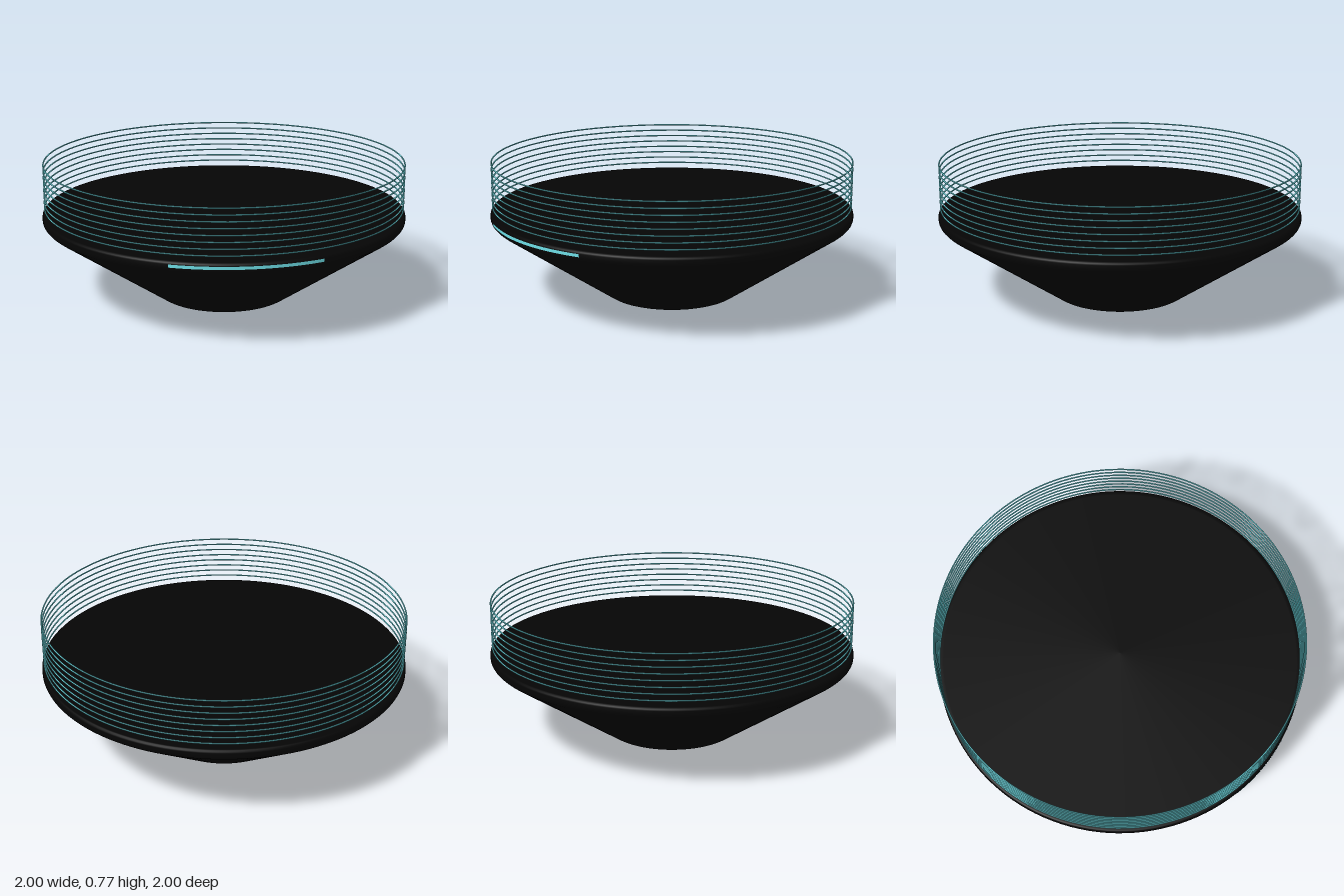
import * as THREE from 'three';

const SEGMENTS = 128;

export function createModel() {
  const group = new THREE.Group();
  const black = new THREE.MeshStandardMaterial({ color: 0x050505 });
  black.name = 'black shell';
  const teal = new THREE.MeshStandardMaterial({ color: 0x6fe0e8, side: THREE.DoubleSide });
  teal.name = 'teal light';

  const add = (name, geometry, material, y = 0) => {
    const mesh = new THREE.Mesh(geometry, material);
    mesh.name = name;
    mesh.position.y = y;
    group.add(mesh);
  };

  // Conical base with softly rounded rim and foot
  const profile = [
    [0, 0], [0.335, 0], [0.345, 0.001], [0.358, 0.006], [0.37, 0.013],
    [0.975, 0.427], [0.985, 0.435], [0.993, 0.444], [0.998, 0.456],
    [0.998, 0.475], [0.996, 0.483], [0.991, 0.488], [0.984, 0.49], [0.97, 0.49], [0, 0.49],
  ].map(([r, y]) => new THREE.Vector2(r, y));
  add('base', new THREE.LatheGeometry(profile, SEGMENTS), black);

  // Curved light strip on the front of the rim
  const halfAngle = 0.395;
  add('frontLightStrip',
    new THREE.CylinderGeometry(1, 1, 0.016, 32, 1, true, -halfAngle, halfAngle * 2),
    teal, 0.467);

  // Stack of floating thin rings
  const ringGeometry = new THREE.TorusGeometry(0.985, 0.004, 8, SEGMENTS);
  ringGeometry.rotateX(-Math.PI / 2);
  for (let i = 0; i < 8; i++) {
    add('ring' + (i + 1), ringGeometry, teal, 0.524 + i * 0.0342);
  }
  return group;
}
